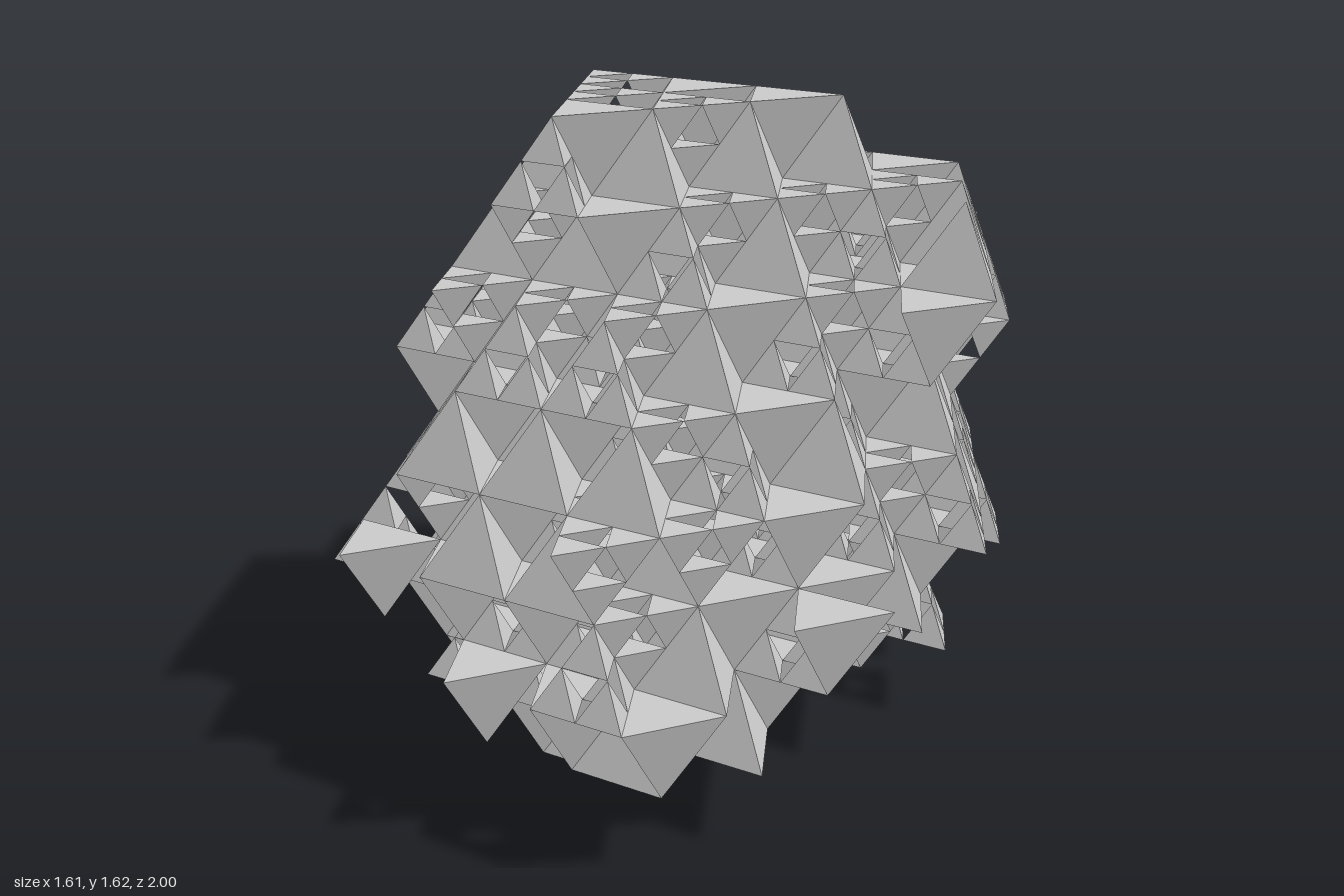
import * as THREE from 'three';

// Lattice: R = row spacing in z, E = edge length, H = layer height
const R = 2 / 9.3333, E = R / 0.8660254, H = E * 0.8164966;
const point = (x, j, k) => new THREE.Vector3(x * E, k * H, (2 / 3 * k + j) * R);

// Upright cell: x is the left end of its front edge. Hanging cell: x is its lower tip.
const upright = (x, j, k) => [point(x, j, k), point(x + 1, j, k), point(x + 0.5, j - 1, k), point(x + 0.5, j - 1, k + 1)];
const hanging = (x, j, k) => [point(x, j, k), point(x, j, k + 1), point(x - 0.5, j - 1, k + 1), point(x + 0.5, j - 1, k + 1)];

// Convex outline of the body seen from above, as [x, z]
const PLAN = [
  [-0.56, -0.93], [0.31, -0.87], [0.44, -0.79], [0.57, -0.57], [0.7, -0.2], [0.7, 0.4],
  [0.57, 0.87], [-0.19, 0.87], [-0.45, 0.65], [-0.57, 0.58], [-0.7, 0.5], [-0.7, -0.57],
];

// Sloping planes that cut the upper front corners, making the top a triangle
const SLOPES = [
  { normal: new THREE.Vector3(-0.866, 0.714, 0.5), distance: 1.476 },
  { normal: new THREE.Vector3(0.866, 0.714, 0.5), distance: 1.372 },
];

// Per layer: limits [xMin, xMax, zMin, zMax] and [xMin, xMax] of hanging cells.
// The lowest layer is listed cell by cell.
const LIMITS = [
  null,
  { box: [-0.7, 0.57, -0.58, 0.78], hang: [-0.7, 0.57] },
  { box: [-0.7, 0.7, -0.86, 0.87], hang: [-0.7, 0.69] },
  { box: [-0.7, 0.7, -0.87, 0.87], hang: [-0.7, 0.69] },
  { box: [-0.7, 0.7, -0.94, 0.79], hang: [-0.7, 0.57] },
  { box: [-0.7, 0.7, -0.86, 0.72], hang: [-0.7, 0.69] },
  { box: [-0.7, 0.7, -0.65, 0.58], hang: [-0.57, 0.69] },
  { box: [-0.57, 0.44, -0.3, 0.58], hang: [-0.44, 0.32] },
];

// Rows in which every cell is divided: layer + type + row
const DIVIDED_ROWS = new Set([
  '1h-1', '1u-2', '2u-2', '2u-3', '2u-4', '3u0', '3u-1', '3u-5', '5h-1', '7u-2', '7h-2',
]);

// Cells sticking out of the outline: [layer, type, x, j, divided]
const TIPS = [
  [0, 'h', -2.25, 1, true], [0, 'u', -2.25, 1, true], [0, 'h', -1.25, 1, false],
  [0, 'h', -0.75, 2, false], [0, 'u', -0.75, 2, true], [0, 'h', 0.25, 2, false],
  [1, 'h', -0.25, 3, false], [1, 'h', 0.75, 3, false], [1, 'h', 1.75, 3, false], [1, 'u', 0.75, 3, false],
  [2, 'u', 0.75, 3, true],
  [2, 'h', 2.75, 1, false], [2, 'u', -3.25, 1, true], [2, 'h', -1.75, 2, false],
  [2, 'h', -0.25, -5, false], [2, 'h', 0.75, -5, false],
  [3, 'h', 1.25, 2, true], [3, 'u', -3.25, -1, true], [3, 'u', 2.25, -2, true],
  [3, 'h', -1.75, -6, false], [3, 'h', -0.75, -6, false],
  [4, 'h', -2.75, -2, false],
  [5, 'u', -3.25, -5, true], [5, 'h', 2.75, -3, false], [5, 'u', -1.25, -7, false],
  [6, 'u', 2.25, -4, false],
  [7, 'u', -0.75, -2, true], [7, 'u', -2.25, -5, false], [7, 'u', 0.75, -5, false],
];

function seeded(seed) {
  return () => {
    seed = (seed * 1664525 + 1013904223) % 4294967296;
    return seed / 4294967296;
  };
}

// Adds the four outward faces of a tetrahedron
function addTetra(out, [a, b, c, d]) {
  const ab = b.clone().sub(a), ac = c.clone().sub(a), ad = d.clone().sub(a);
  if (ab.cross(ac).dot(ad) > 0) [b, c] = [c, b];
  for (const p of [a, b, c, a, d, b, b, d, c, c, d, a]) out.push(p.x, p.y, p.z);
}

// A divided cell is four half-size tetrahedra, one in each corner
function addCell(lists, cell, divided) {
  if (!divided) return addTetra(lists.solid, cell);
  for (const corner of cell) {
    addTetra(lists.divided, cell.map(p => p.clone().lerp(corner, 0.5)));
  }
}

const insidePlan = p => PLAN.every(([x, z], i) => {
  const [nx, nz] = PLAN[(i + 1) % PLAN.length];
  return (nx - x) * (p.z - z) - (nz - z) * (p.x - x) > -0.01;
});
const belowSlopes = p => SLOPES.every(s => s.normal.dot(p) < s.distance);

// Corners must lie in the plan, the box and below the slopes, the centre in a rounded box
function insideOutline(cell, type, { box: [x0, x1, z0, z1], hang }) {
  const c = new THREE.Vector3();
  const [left, right] = type === 'h' ? hang : [x0, x1];
  for (const p of cell) {
    if (p.x < left || p.x > right || p.z < z0 || p.z > z1) return false;
    if (!insidePlan(p) || !belowSlopes(p)) return false;
    c.addScaledVector(p, 0.25);
  }
  const u = Math.abs(2 * c.x - x0 - x1) / (x1 - x0);
  const v = Math.abs(2 * c.z - z0 - z1) / (z1 - z0);
  return u ** 2.8 + v ** 2.8 < 1;
}

export function createModel() {
  const group = new THREE.Group();
  const material = new THREE.MeshStandardMaterial({ color: 0xcccccc, flatShading: true });
  const random = seeded(7);

  for (let k = 0; k < 8; k++) {
    const lists = { solid: [], divided: [] };
    const used = new Set();

    // Protruding cells
    for (const [layer, type, x, j, divided] of TIPS) {
      if (layer !== k) continue;
      addCell(lists, (type === 'u' ? upright : hanging)(x, j, k), divided);
      used.add(type + x + ',' + j);
    }

    // Body of the layer
    for (let j = -10; LIMITS[k] && j <= 5; j++) {
      for (let i = -5; i <= 5; i++) {
        const x = i + (j % 2 === 0 ? 0.25 : 0.75);
        for (const type of ['u', 'h']) {
          const divided = random() < 0.42 || DIVIDED_ROWS.has(k + type + j);
          if (used.has(type + x + ',' + j)) continue;
          if (k === 1 && type === 'u' && j === 0) continue; // gap across the underside
          const cell = (type === 'u' ? upright : hanging)(x, j, k);
          if (insideOutline(cell, type, LIMITS[k])) addCell(lists, cell, divided);
        }
      }
    }

    const layerGroup = new THREE.Group();
    layerGroup.name = 'layer' + (k + 1);
    for (const [kind, positions] of Object.entries(lists)) {
      if (!positions.length) continue;
      const geometry = new THREE.BufferGeometry();
      geometry.setAttribute('position', new THREE.Float32BufferAttribute(positions, 3));
      geometry.computeVertexNormals();
      const mesh = new THREE.Mesh(geometry, material);
      mesh.name = kind + 'Tetrahedra';
      layerGroup.add(mesh);
    }
    group.add(layerGroup);
  }
  return group;
}
